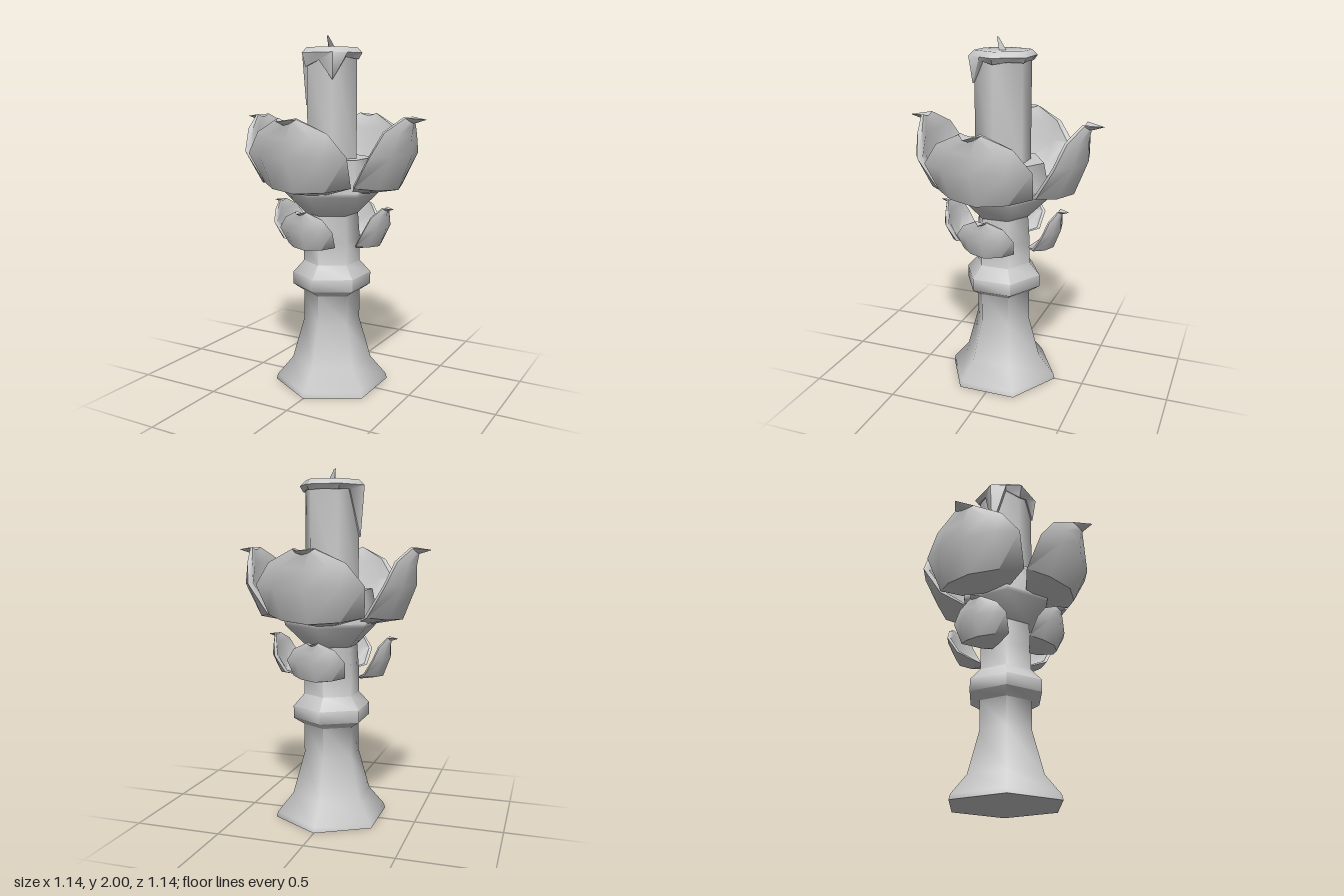
import * as THREE from 'three';
import { toCreasedNormals } from 'three/addons/utils/BufferGeometryUtils.js';

const material = new THREE.MeshStandardMaterial({ color: 0xcccccc });

function addMesh(parent, name, geometry) {
  const mesh = new THREE.Mesh(geometry, material);
  mesh.name = name;
  parent.add(mesh);
  return mesh;
}

// Six-sided turned part from [radius, height] pairs, bottom to top
function turned(profile, turn = 0) {
  const g = new THREE.LatheGeometry(profile.map(([r, y]) => new THREE.Vector2(r, y)), 6, turn);
  return toCreasedNormals(g, 1.1);
}

// Skin over closed rings of equal length, each counterclockwise from above
function loft(rings, crease) {
  const n = rings[0].length, index = [];
  for (let i = 0; i < rings.length - 1; i++) {
    for (let j = 0; j < n; j++) {
      const a = i * n + j, b = i * n + (j + 1) % n;
      index.push(a, b, b + n, a, b + n, a + n);
    }
  }
  const g = new THREE.BufferGeometry();
  g.setAttribute('position', new THREE.Float32BufferAttribute(rings.flat(2), 3));
  g.setIndex(index);
  return toCreasedNormals(g, crease);
}

// Cupped petal facing +z; rows: half width, edge z, edge y, middle z, middle y, inset z, inset y
function petalGeometry() {
  const rows = [
    [0, 0.14, 1.14, 0.14, 1.14, 0, 0],
    [0.11, 0.19, 1.155, 0.19, 1.13, 0.01, 0.03],
    [0.27, 0.28, 1.20, 0.415, 1.17, 0.05, 0.04],
    [0.30, 0.385, 1.37, 0.49, 1.36, 0.06, 0.01],
    [0.21, 0.425, 1.49, 0.487, 1.46, 0.06, 0.01],
    [0.06, 0.475, 1.56, 0.50, 1.53, 0.04, 0.02],
    [0, 0.57, 1.552, 0.57, 1.552, 0, 0],
  ];
  const us = [-1, -0.6, 0, 0.6, 1];
  const rings = rows.map(([w, ez, ey, cz, cy, dz, dy]) => {
    const point = (u, inner) => {
      const bulge = 1 - u * u, k = inner * (0.3 + 0.7 * bulge);
      return [
        w * u * (1 - 0.1 * inner),
        ey + (cy - ey) * bulge + dy * k,
        ez + (cz - ez) * bulge - dz * k,
      ];
    };
    return [...us.map(u => point(u, 0)), ...us.slice().reverse().map(u => point(u, 1))];
  });
  return loft(rings, 0.9);
}

// Wax cap with drips of different length at the corners
function waxGeometry() {
  const drips = [1.865, 1.76, 1.88, 1.87, 1.88, 1.875, 1.88, 1.875, 1.88, 1.62, 1.88, 1.83];
  // drips: even entries are side middles, odd entries are corners, starting at +z
  const ring = (r, height) => drips.map((d, i) => {
    const a = i * Math.PI / 6;
    const k = i % 2 ? r : r * Math.cos(Math.PI / 6);
    return [k * Math.sin(a), height(d), k * Math.cos(a)];
  });
  return loft([
    ring(0.14, () => 1.89),
    ring(0.15, d => d + 0.005),
    ring(0.168, d => d),
    ring(0.19, () => 1.905),
    ring(0.158, () => 1.935),
    ring(0, () => 1.93),
  ], 0.9);
}

export function createModel() {
  const model = new THREE.Group();
  model.name = 'candlestick';

  // Foot, column and knop
  addMesh(model, 'stem', turned([
    [0, 0], [0.33, 0], [0.322, 0.03], [0.23, 0.14], [0.162, 0.38], [0.162, 0.55],
    [0.225, 0.59], [0.225, 0.66], [0.162, 0.73], [0.162, 0.86], [0.15, 1.02],
  ]));

  // Dish that holds the candle
  addMesh(model, 'dish', turned([
    [0.15, 1.01], [0.27, 1.13], [0.275, 1.15], [0.24, 1.33], [0, 1.33],
  ]));

  // Four large petals around the dish and four small ones around the column
  const large = petalGeometry();
  const small = large.clone().scale(0.55, 0.56, 0.55).translate(0, 0.19, 0.077);
  for (let i = 0; i < 4; i++) {
    addMesh(model, 'upperPetal', large).rotation.y = i * Math.PI / 2;
    addMesh(model, 'lowerPetal', small).rotation.y = i * Math.PI / 2;
  }

  // Candle with melted top
  addMesh(model, 'candle', turned([[0.158, 1.32], [0.158, 1.91]], Math.PI / 6));
  addMesh(model, 'meltedWax', waxGeometry());

  // Leaning three-sided wick
  const wickBase = [[0.022, -0.015], [-0.024, -0.015], [-0.005, 0.025]];
  addMesh(model, 'wick', loft([
    wickBase.map(([x, z]) => [x, 1.92, z]),
    wickBase.map(([x, z]) => [-0.008 + x * 0.2, 2, 0.035 + z * 0.2]),
    wickBase.map(() => [-0.008, 2, 0.035]),
  ].map(ring => ring.slice().reverse()), 0.5));

  return model;
}
